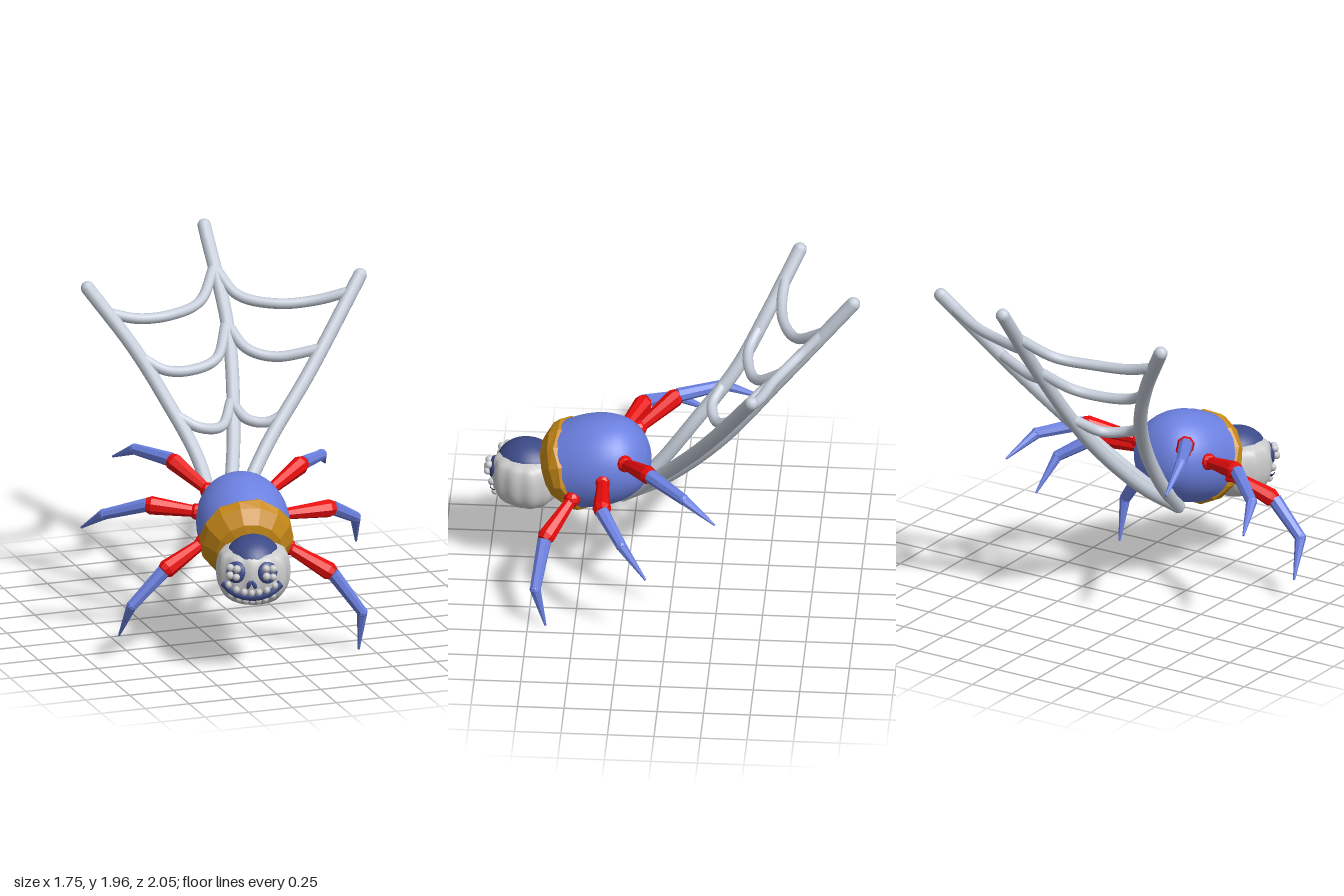
import * as THREE from 'three';

const mat = (color, extra = {}) => new THREE.MeshStandardMaterial({ color, ...extra });
const V = (p) => new THREE.Vector3(...p);
const UP = new THREE.Vector3(0, 1, 0);

const blue = mat(0x6b80e0, { side: THREE.DoubleSide });
const legBlue = mat(0x6b80e0, { flatShading: true });
const red = mat(0xe80c0c, { flatShading: true });
const orange = mat(0xc88a18, { flatShading: true, side: THREE.DoubleSide });
const navy = mat(0x3c4a88);
const grey = mat(0xcccccc);
const silk = mat(0xc6ceda);

function add(parent, name, geometry, material) {
  const mesh = new THREE.Mesh(geometry, material);
  mesh.name = name;
  parent.add(mesh);
  return mesh;
}

// Tapered cylinder from point a to point b
function limb(parent, name, a, b, ra, rb, material, sides = 8) {
  const d = b.clone().sub(a);
  const m = add(parent, name, new THREE.CylinderGeometry(rb, ra, d.length(), sides), material);
  m.position.copy(a).addScaledVector(d, 0.5);
  m.quaternion.setFromUnitVectors(UP, d.normalize());
  return m;
}

function ball(parent, name, p, r, material, w = 10, h = 8) {
  const m = add(parent, name, new THREE.SphereGeometry(r, w, h), material);
  m.position.copy(p);
  return m;
}

// Superellipsoid head surface: direction to point
function headPoint(d) {
  const p = 2.4;
  const s = (Math.abs(d.x / 0.2) ** p + Math.abs(d.y / 0.185) ** p + Math.abs(d.z / 0.19) ** p) ** (-1 / p);
  return d.clone().multiplyScalar(s);
}
function onFace(az, el, out = 1) {
  const a = az * Math.PI / 180, e = el * Math.PI / 180;
  return headPoint(new THREE.Vector3(Math.sin(a) * Math.cos(e), Math.sin(e), Math.cos(a) * Math.cos(e))).multiplyScalar(out);
}

function makeBody() {
  const g = new THREE.Group();
  g.name = 'body';
  const lathe = (pts, n) => new THREE.LatheGeometry(pts.map(([r, y]) => new THREE.Vector2(r, y)), n);
  const back = new THREE.SplineCurve([[0, -0.298], [0.1, -0.28], [0.185, -0.22], [0.235, -0.12], [0.252, 0], [0.242, 0.13]]
    .map((p) => new THREE.Vector2(...p)));
  add(g, 'abdomen', new THREE.LatheGeometry(back.getPoints(18), 36), blue);
  // Faceted collar with an uneven rear edge
  const geo = lathe([[0.242, 0.1], [0.256, 0.125], [0.242, 0.18], [0.18, 0.25], [0.1, 0.275], [0, 0.28]], 14);
  const pos = geo.attributes.position;
  for (let i = 0; i < pos.count; i++) {
    if (pos.getY(i) < 0.13) {
      const k = Math.round(Math.atan2(pos.getX(i), pos.getZ(i)) / (Math.PI * 2) * 14);
      pos.setY(i, pos.getY(i) + (k % 2 ? 0.012 : -0.006));
    }
  }
  add(g, 'collar', geo, orange);
  g.position.set(-0.145, 0.705, 0.42);
  g.quaternion.setFromUnitVectors(UP, V([-0.19, -0.34, 0.92]).normalize());
  return g;
}

function makeHead() {
  const g = new THREE.Group();
  g.name = 'head';
  // Skull with vertical lobes below the face and a flattened crown
  const geo = new THREE.SphereGeometry(1, 64, 40);
  const pos = geo.attributes.position;
  for (let i = 0; i < pos.count; i++) {
    const d = new THREE.Vector3().fromBufferAttribute(pos, i).normalize();
    const a = Math.atan2(d.x, d.z);
    const v = headPoint(d);
    const lobe = 1 - 0.06 * (1 - Math.abs(Math.cos(a * 6))) * Math.hypot(d.x, d.z);
    v.x *= lobe;
    v.z *= lobe;
    v.y = v.y > 0.1 ? 0.1 + (v.y - 0.1) * 0.5 : v.y;
    pos.setXYZ(i, v.x, v.y, v.z);
  }
  geo.computeVertexNormals();
  add(g, 'skull', geo, grey);
  const cap = ball(g, 'crown', V([0, 0.05, 0.005]), 1, navy, 28, 18);
  cap.scale.set(0.155, 0.142, 0.172);

  // Eyes: dark sockets holding clusters of small beads
  for (const s of [-1, 1]) {
    const c = onFace(s * 27, 11);
    const eye = new THREE.Group();
    eye.name = s > 0 ? 'leftEye' : 'rightEye';
    eye.position.copy(c);
    eye.quaternion.setFromUnitVectors(new THREE.Vector3(0, 0, 1), c.clone().normalize());
    ball(eye, 'socket', V([0, 0, -0.01]), 0.06, navy, 16, 12).scale.set(0.95, 1, 0.4);
    for (const [x, y, r] of [[-0.02, 0.024, 0.021], [0.021, 0.02, 0.022], [-0.019, -0.018, 0.022], [0.02, -0.024, 0.02]])
      ball(eye, 'bead', V([x, y, 0.018]), r, grey);
    g.add(eye);
  }
  // Nose: two small slanted hollows
  for (const s of [-1, 1]) {
    const n = ball(g, 'nostril', onFace(s * 4, -8, 0.98), 0.018, navy, 8, 6);
    n.scale.set(0.7, 1.5, 0.7);
    n.rotation.z = s * 0.4;
  }
  // Mouth with two rows of teeth
  const smile = (t, off) => [t * 50, -32 + 22 * t * t + off];
  const path = [-1, -0.66, -0.33, 0, 0.33, 0.66, 1].map((t) => onFace(...smile(t, 0), 0.96));
  add(g, 'mouth', new THREE.TubeGeometry(new THREE.CatmullRomCurve3(path), 32, 0.025, 8), navy);
  for (const off of [9, -9])
    for (let i = -3; i <= 3; i++)
      ball(g, 'tooth', onFace(...smile(i / 4, off)), 0.019, grey, 8, 6).scale.y = 1.1;

  g.position.set(-0.22, 0.565, 0.79);
  g.rotation.y = -0.39;
  return g;
}

// Hip, knee, ankle and tip of each leg
const legs = {
  leftFrontLeg: [[0.06, 0.59, 0.53], [0.275, 0.455, 0.67], [0.43, 0.23, 0.71], [0.43, 0.005, 0.655]],
  leftMiddleLeg: [[0.08, 0.715, 0.37], [0.39, 0.715, 0.355], [0.56, 0.61, 0.24], [0.612, 0.43, 0.105]],
  leftBackLeg: [[0.05, 0.81, 0.26], [0.31, 0.9, 0.1], [0.485, 0.87, -0.09], [0.567, 0.765, -0.265]],
  rightFrontLeg: [[-0.38, 0.64, 0.46], [-0.635, 0.52, 0.525], [-0.81, 0.34, 0.51], [-0.842, 0.142, 0.395]],
  rightMiddleLeg: [[-0.35, 0.755, 0.3], [-0.61, 0.79, 0.19], [-0.8, 0.71, 0.035], [-0.863, 0.588, -0.147]],
  rightBackLeg: [[-0.26, 0.83, 0.21], [-0.405, 0.965, 0], [-0.525, 0.965, -0.24], [-0.57, 0.862, -0.462]],
};

function makeLeg(name, pts) {
  const g = new THREE.Group();
  g.name = name;
  const [hip, knee, ankle, tip] = pts.map(V);
  const at = (t) => hip.clone().lerp(knee, t);
  ball(g, 'hipJoint', at(0.04), 0.046, red, 8, 6);
  limb(g, 'thigh', at(0), at(0.93), 0.029, 0.05, red);
  limb(g, 'kneeCuff', at(0.93), at(1.03), 0.05, 0.036, red);
  limb(g, 'shin', knee, ankle, 0.039, 0.03, legBlue);
  ball(g, 'ankleJoint', ankle, 0.031, legBlue, 8, 6);
  limb(g, 'foot', ankle, tip, 0.03, 0.006, legBlue);
  return g;
}

// Three long spokes joined by sagging cross threads
const spokes = [
  [[-0.65, 1.765, -0.64], [-0.45, 1.46, -0.47], [-0.32, 1.2, -0.32], [-0.215, 0.92, -0.1], [-0.19, 0.65, 0.1], [-0.18, 0.465, 0.28]],
  [[0.137, 1.93, -0.98], [0.138, 1.45, -0.6], [0.045, 0.98, -0.26], [-0.09, 0.64, 0.05], [-0.18, 0.465, 0.28]],
  [[0.845, 1.725, -0.48], [0.48, 1.28, -0.27], [0.17, 0.94, -0.1], [-0.06, 0.65, 0.1], [-0.18, 0.465, 0.28]],
];
const threads = [
  [[-0.57, 1.64, -0.57], [-0.4, 1.59, -0.56], [-0.2, 1.58, -0.585], [0, 1.61, -0.67], [0.133, 1.74, -0.82]],
  [[0.14, 1.74, -0.82], [0.22, 1.62, -0.68], [0.4, 1.585, -0.57], [0.6, 1.6, -0.51], [0.78, 1.65, -0.45]],
  [[-0.42, 1.41, -0.44], [-0.3, 1.34, -0.39], [-0.15, 1.32, -0.4], [0.02, 1.35, -0.46], [0.13, 1.48, -0.62]],
  [[0.14, 1.48, -0.62], [0.2, 1.38, -0.48], [0.33, 1.345, -0.4], [0.57, 1.39, -0.32]],
  [[-0.28, 1.12, -0.25], [-0.17, 1.06, -0.2], [-0.03, 1.04, -0.24], [0.07, 1.13, -0.37]],
  [[0.07, 1.13, -0.37], [0.12, 1.06, -0.25], [0.22, 1.05, -0.2], [0.32, 1.1, -0.18]],
];

function strand(parent, name, pts, r) {
  const curve = new THREE.CatmullRomCurve3(pts.map(V));
  add(parent, name, new THREE.TubeGeometry(curve, 32, r, 10), silk);
  for (const t of [0, 1]) ball(parent, name + 'End', curve.getPoint(t), r, silk);
}

export function createModel() {
  const model = new THREE.Group();
  model.name = 'spider';
  model.add(makeBody(), makeHead());
  for (const [name, pts] of Object.entries(legs)) model.add(makeLeg(name, pts));
  const web = new THREE.Group();
  web.name = 'web';
  spokes.forEach((p) => strand(web, 'spoke', p, 0.038));
  threads.forEach((p) => strand(web, 'crossThread', p, 0.029));
  model.add(web);
  return model;
}
